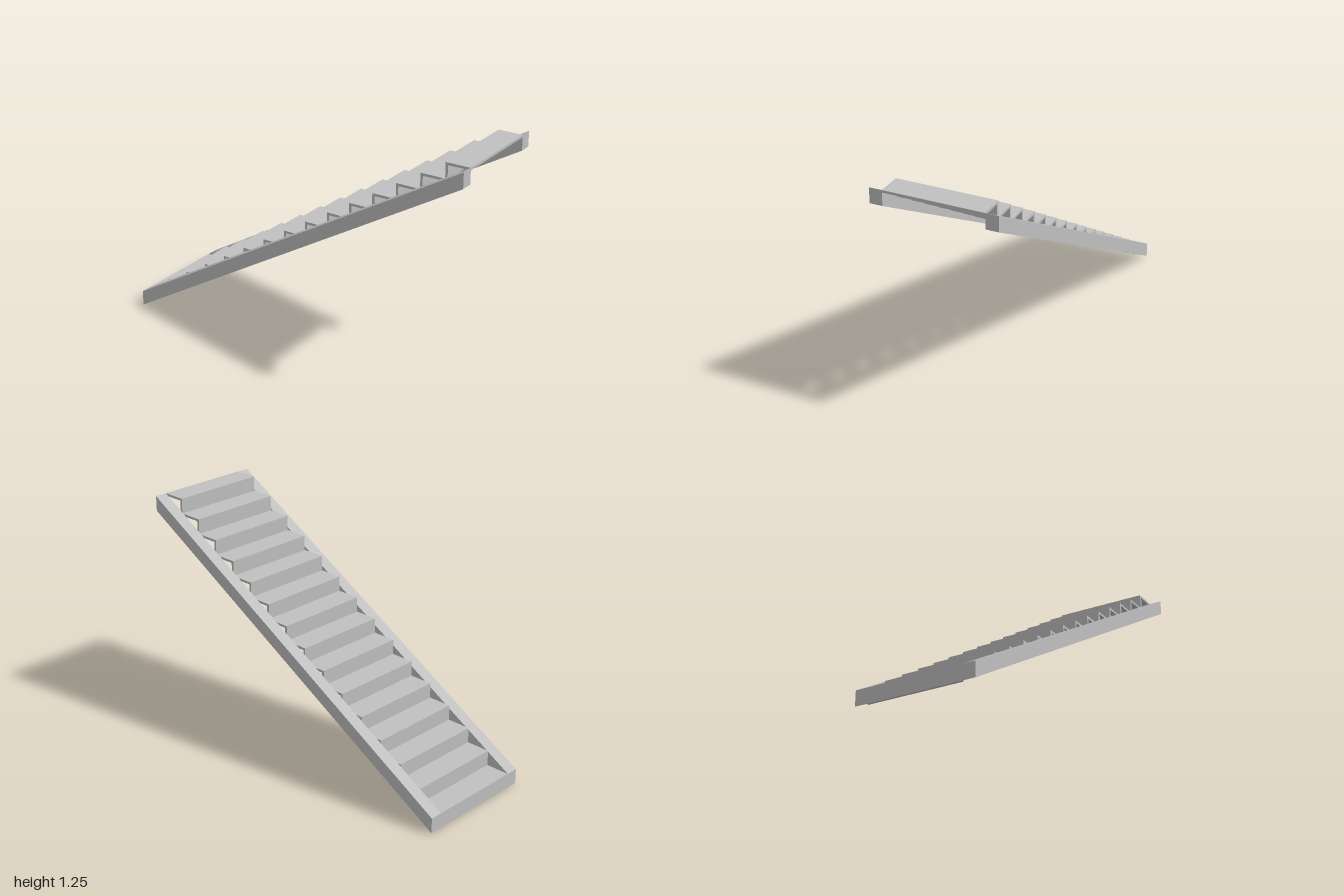
import * as THREE from 'three';

const STEPS = 15;
const RUN = 2 / STEPS;
const RISE = 1.25 / STEPS;
const BOARD = 0.013;
const INNER = 0.265; // half width between the stringers
const OUTER = 0.333;

export function createModel() {
  const group = new THREE.Group();
  group.name = 'staircase';
  const grey = new THREE.MeshStandardMaterial({ color: 0xc0c0c0 });
  grey.name = 'light grey';

  const add = (name, geometry, x, y, z) => {
    const mesh = new THREE.Mesh(geometry, grey);
    mesh.name = name;
    mesh.position.set(x, y, z);
    group.add(mesh);
  };

  // sloping side beams with plumb-cut ends
  const side = new THREE.Shape([
    new THREE.Vector2(-1, 0),
    new THREE.Vector2(1, 1.25 - RISE),
    new THREE.Vector2(1, 1.25),
    new THREE.Vector2(-1, RISE),
  ]);
  const stringer = new THREE.ExtrudeGeometry(side, { depth: OUTER - INNER, bevelEnabled: false });
  add('leftStringer', stringer, 0, 0, INNER);
  add('rightStringer', stringer, 0, 0, -OUTER);

  // each riser stands on the back edge of the tread below
  const tread = new THREE.BoxGeometry(RUN, BOARD, INNER * 2);
  const riser = new THREE.BoxGeometry(BOARD, RISE - BOARD, INNER * 2);
  for (let i = 0; i < STEPS; i++) {
    const x = -1 + i * RUN;
    const y = i * RISE;
    add(`riser${i + 1}`, riser, x + BOARD / 2, y + (RISE - BOARD) / 2, 0);
    add(`tread${i + 1}`, tread, x + RUN / 2, y + RISE - BOARD / 2, 0);
  }
  return group;
}
